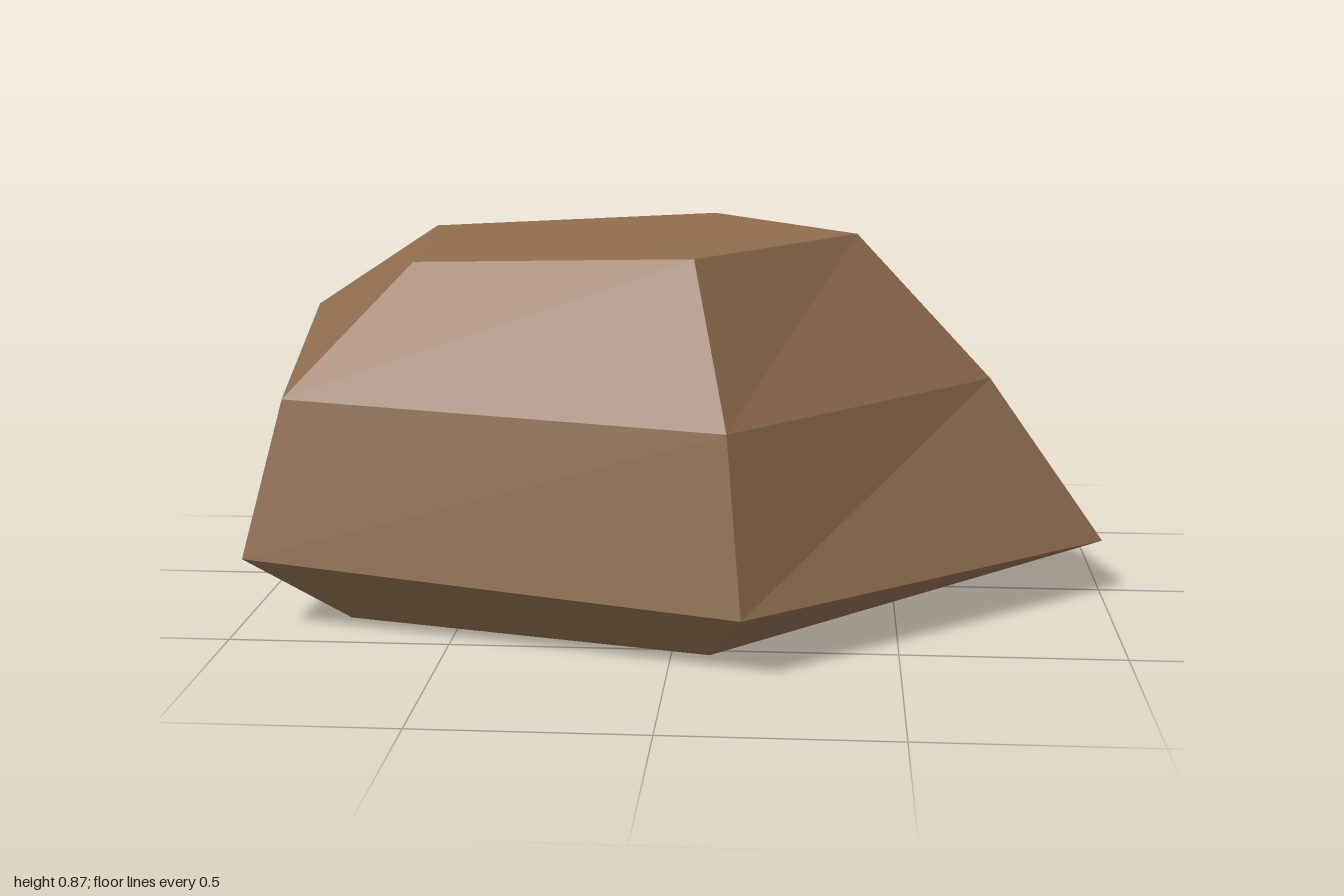
import * as THREE from 'three';

// Five-sided cross-sections from the base up; corners run +x, front, front -x, back -x, back
const RINGS = [
  [[0.56, 0, 0.02], [0.085, 0, 0.53], [-0.76, 0, 0.33], [-0.75, 0, -0.3], [0.055, 0, -0.43]],
  [[1, 0.13, 0.02], [0.16, 0.14, 0.71], [-0.975, 0.175, 0.455], [-0.885, 0.135, -0.345], [0.185, 0.175, -0.71]],
  [[0.72, 0.525, 0.02], [0.125, 0.525, 0.64], [-0.88, 0.535, 0.41], [-1, 0.61, -0.42], [0.16, 0.62, -0.655]],
  [[0.4, 0.866, 0.02], [0.045, 0.866, 0.455], [-0.605, 0.825, 0.26], [-0.645, 0.843, -0.24], [0.045, 0.86, -0.405]],
];

const centre = (ring) => [0, 1, 2].map((k) => ring.reduce((sum, p) => sum + p[k], 0) / ring.length);

function rockGeometry() {
  const points = [];
  const tri = (...corners) => corners.forEach((c) => points.push(...c));
  const n = RINGS[0].length;
  const bottom = RINGS[0];
  const top = RINGS[RINGS.length - 1];
  const bottomCentre = centre(bottom);
  const topCentre = centre(top);

  for (let i = 0; i < n; i++) {
    const j = (i + 1) % n;
    // Side facets between neighbouring rings
    for (let r = 0; r < RINGS.length - 1; r++) {
      const lower = RINGS[r];
      const upper = RINGS[r + 1];
      tri(lower[j], lower[i], upper[i]);
      tri(lower[j], upper[i], upper[j]);
    }
    // Caps
    tri(topCentre, top[j], top[i]);
    tri(bottomCentre, bottom[i], bottom[j]);
  }

  const geometry = new THREE.BufferGeometry();
  geometry.setAttribute('position', new THREE.Float32BufferAttribute(points, 3));
  geometry.computeVertexNormals(); // unshared corners give flat facets
  return geometry;
}

export function createModel() {
  const group = new THREE.Group();
  group.name = 'rock';

  const brownStone = new THREE.MeshStandardMaterial({ color: 0x8f6c4d, flatShading: true });
  brownStone.name = 'brown stone';

  const boulder = new THREE.Mesh(rockGeometry(), brownStone);
  boulder.name = 'boulder';
  group.add(boulder);
  return group;
}
